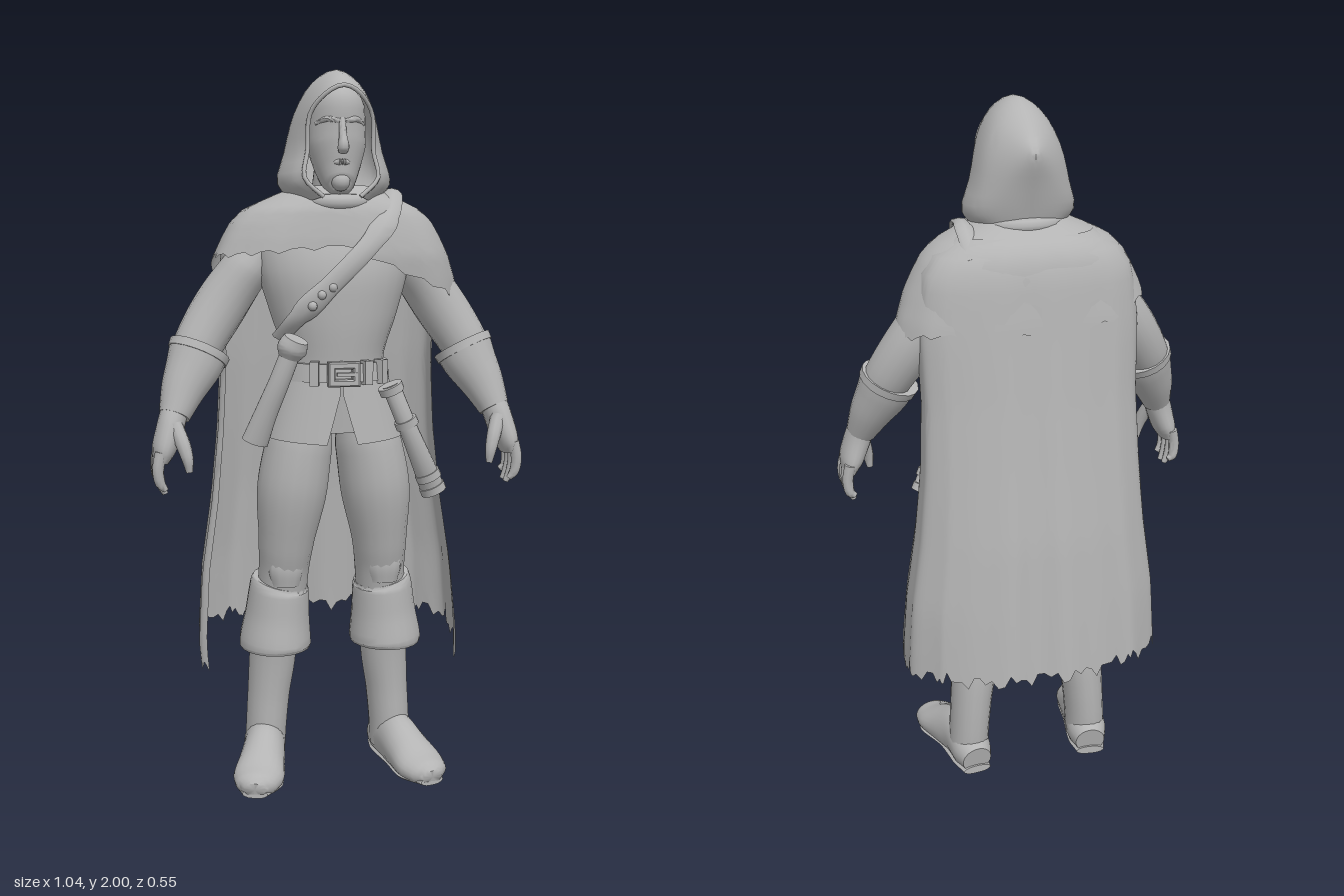
import * as THREE from 'three';
import { toCreasedNormals } from 'three/addons/utils/BufferGeometryUtils.js';

const grey = new THREE.MeshStandardMaterial({ color: 0xb4b4b4, side: THREE.DoubleSide });
grey.name = 'plain grey';
const V = (x, y, z) => new THREE.Vector3(x, y, z);
const power = (v, e) => Math.sign(v) * Math.abs(v) ** e;

// Skin over rows of points; closed rows wrap round
function skin(rows, closed, crease = 0.9) {
  const n = rows[0].length, pos = rows.flat().flatMap(p => [p.x, p.y, p.z]), idx = [];
  let volume = 0;
  const tri = (a, b, c, A, B, C) => {
    idx.push(a, b, c);
    volume += A.dot(B.clone().cross(C));
  };
  for (let r = 0; r < rows.length - 1; r++) {
    for (let i = 0; i < (closed ? n : n - 1); i++) {
      const j = (i + 1) % n, a = r * n + i, b = r * n + j, c = a + n, d = b + n;
      tri(a, b, d, rows[r][i], rows[r][j], rows[r + 1][j]);
      tri(a, d, c, rows[r][i], rows[r + 1][j], rows[r + 1][i]);
    }
  }
  if (closed && volume < 0) idx.reverse();
  const g = new THREE.BufferGeometry();
  g.setAttribute('position', new THREE.Float32BufferAttribute(pos, 3));
  g.setIndex(idx);
  return toCreasedNormals(g, crease);
}

// Solid swept through stations [x, y, z, sideRadius, depthRadius]
function sweep(st, { sides = 18, steps = 5, side = 1, floor = -9 } = {}) {
  const path = new THREE.CatmullRomCurve3(st.map(p => V(p[0] * side, p[1], p[2])));
  const radii = new THREE.CatmullRomCurve3(st.map(p => V(p[3], p[4], 0)));
  const rows = [], N = (st.length - 1) * steps;
  for (let k = 0; k <= N; k++) {
    const c = path.getPoint(k / N), r = radii.getPoint(k / N), t = path.getTangent(k / N);
    const u = V(1, 0, 0).addScaledVector(t, -t.x).normalize(), w = t.clone().cross(u);
    const ring = Array.from({ length: sides }, (_, i) => {
      const a = i / sides * Math.PI * 2;
      const p = c.clone().addScaledVector(u, r.x * Math.cos(a)).addScaledVector(w, r.y * Math.sin(a));
      p.y = Math.max(p.y, floor);
      return p;
    });
    const cap = ring.map(() => V(c.x, Math.max(c.y, floor), c.z));
    if (k === 0) rows.push(cap);
    rows.push(ring);
    if (k === N) rows.push(cap);
  }
  return skin(rows, true);
}

// Interpolates a table of [y, ...values] with y falling
function at(table, y) {
  let i = 0;
  while (i < table.length - 2 && y < table[i + 1][0]) i++;
  const a = table[i], b = table[i + 1];
  const f = THREE.MathUtils.clamp((y - a[0]) / (b[0] - a[0]), 0, 1);
  return a.map((v, k) => v + (b[k] - v) * f);
}

export function createModel() {
  const model = new THREE.Group();
  const add = (name, g, x = 0, y = 0, z = 0) => {
    const m = new THREE.Mesh(g, grey);
    m.name = name;
    m.position.set(x, y, z);
    model.add(m);
    return m;
  };

  // Torso, neck and head
  add('torso', sweep([[0, 1.02, .06, .15, .11], [0, 1.12, .065, .15, .115], [0, 1.21, .07, .14, .12],
    [0, 1.34, .07, .178, .135], [0, 1.45, .06, .21, .145], [0, 1.55, .04, .22, .13], [0, 1.65, .03, .1, .08]], { sides: 28 }));
  add('neck', sweep([[0, 1.58, .04, .07, .07], [0, 1.74, .08, .055, .06]]));
  add('head', sweep([[0, 1.672, .165, .022, .025], [0, 1.69, .15, .042, .05], [0, 1.74, .125, .064, .074],
    [0, 1.8, .11, .08, .09], [0, 1.85, .105, .08, .094], [0, 1.9, .105, .076, .095], [0, 1.96, .09, .035, .05]], { sides: 24 }));
  add('nose', sweep([[0, 1.865, .192, .009, .01], [0, 1.82, .205, .011, .014], [0, 1.79, .212, .016, .017], [0, 1.777, .203, .012, .01]], { sides: 10 }));
  add('mouth', sweep([[-.028, 1.75, .176, .004, .005], [0, 1.752, .194, .009, .009], [.028, 1.75, .176, .004, .005]], { sides: 8 }));
  add('chin', new THREE.SphereGeometry(.026, 14, 10), 0, 1.7, .173);
  for (const side of [-1, 1])
    add('brow', sweep([[.006, 1.858, .193, .008, .009], [.035, 1.864, .185, .01, .009], [.064, 1.852, .155, .006, .006]], { side, sides: 8 }));

  // Hood: arches from the face opening to the pointed back, half of each given
  const arches = [
    [[0, 1.95, .222], [.045, 1.93, .212], [.085, 1.875, .18], [.09, 1.78, .17], [.1, 1.71, .185], [.05, 1.66, .195]],
    [[0, 1.975, .195], [.05, 1.95, .185], [.095, 1.885, .15], [.115, 1.78, .14], [.13, 1.7, .15], [.08, 1.65, .16]],
    [[0, 2, .09], [.062, 1.965, .085], [.105, 1.89, .08], [.135, 1.78, .075], [.157, 1.695, .075], [.11, 1.645, .08]],
    [[0, 1.98, .02], [.058, 1.95, .015], [.1, 1.88, .005], [.125, 1.78, 0], [.14, 1.7, .01], [.1, 1.65, .02]],
    [[0, 1.93, -.05], [.04, 1.91, -.05], [.066, 1.86, -.055], [.088, 1.78, -.045], [.1, 1.71, -.03], [.075, 1.655, -.02]],
    [[0, 1.895, -.088], [.016, 1.885, -.09], [.03, 1.855, -.088], [.045, 1.79, -.07], [.05, 1.71, -.05], [.04, 1.66, -.035]],
    [[0, 1.875, -.102], [0, 1.87, -.103], [0, 1.85, -.1], [0, 1.79, -.08], [0, 1.71, -.055], [0, 1.66, -.04]]];
  const archRow = h => new THREE.CatmullRomCurve3([
    ...h.slice(1).reverse().map(p => V(-p[0], p[1], p[2])), ...h.map(p => V(...p))]).getPoints(30);
  const coarse = arches.map(archRow);
  const columns = coarse[0].map((_, i) => new THREE.CatmullRomCurve3(coarse.map(r => r[i])).getPoints(24));
  add('hood', skin(columns, false));
  add('hoodRim', new THREE.TubeGeometry(new THREE.CatmullRomCurve3(coarse[0]), 40, .006, 8));
  const collar = add('collar', new THREE.TorusGeometry(.108, .022, 10, 32), 0, 1.66, .06);
  collar.rotation.x = Math.PI / 2 + .14;

  // Shoulder mantle, longer over the left arm
  const mantle = [[1.69, .1, .09, .05], [1.66, .175, .12, .045], [1.625, .25, .148, .035], [1.59, .285, .16, .03],
    [1.55, .308, .167, .03], [1.5, .332, .172, .03], [1.43, .355, .172, .02], [1.35, .37, .17, .01]];
  const mantleRows = [];
  for (let r = 0; r <= 16; r++) {
    mantleRows.push(Array.from({ length: 64 }, (_, i) => {
      const a = i / 64 * Math.PI * 2, x = Math.sin(a), front = Math.cos(a);
      let hem = x > 0 ? 1.53 - .155 * x : 1.53 + .03 * x;
      if (front < 0) hem += (1.4 - hem) * -front;
      hem += .007 * Math.sin(i * 2.1);
      const [y, rx, rz, cz] = at(mantle, 1.69 + (hem - 1.69) * r / 16);
      const fold = 1 + .012 * (r / 16) * Math.sin(a * 9);
      return V(power(x, .88) * rx * fold, y, cz + power(front, .88) * rz * fold);
    }));
  }
  add('shoulderMantle', skin(mantleRows, true));

  // Cape with folds and a torn hem: [y, half width, edge z, back z]
  const cape = [[1.65, .19, .01, -.085], [1.6, .27, 0, -.125], [1.55, .3, -.01, -.14], [1.4, .315, -.03, -.155], [1.2, .31, -.045, -.178],
    [1, .32, -.055, -.205], [.8, .34, -.05, -.235], [.6, .37, -.045, -.255], [.4, .383, -.03, -.275], [.3, .375, -.015, -.28]];
  const capeRows = [];
  for (let r = 0; r <= 28; r++) {
    const v = r / 28;
    capeRows.push(Array.from({ length: 81 }, (_, i) => {
      const s = i / 40 - 1, a = s * 1.9, c = Math.cos(a);
      const tear = .014 * Math.sin(i * 2.3) + .012 * Math.sin(i * 1.1 + 1);
      const hem = .405 - .09 * s ** 6 + tear;
      const [y, w, edge, back] = at(cape, 1.65 + (hem - 1.65) * v);
      const fold = .009 * v * Math.sin(s * 19 + .6) + .005 * v * Math.sin(s * 31);
      return V((w + fold) * Math.sin(a), y, edge + (back - edge) * power(c, .75) + fold * c);
    }));
  }
  add('cape', skin(capeRows, false));

  // Tunic skirt with a front slit
  const skirtRows = [];
  for (let r = 0; r <= 8; r++) {
    const v = r / 8, gap = .01 + .24 * Math.max(0, v - .35);
    skirtRows.push(Array.from({ length: 49 }, (_, i) => {
      const a = gap + (i / 48) * (Math.PI * 2 - 2 * gap);
      return V((.145 + .052 * v) * power(Math.sin(a), .85), 1.2 - .215 * v + .015 * v * Math.abs(Math.sin(a)),
        .068 + (.12 + .02 * v) * power(Math.cos(a), .85));
    }));
  }
  add('tunicSkirt', skin(skirtRows, false));

  // Belt, buckle and loops
  const belt = add('belt', new THREE.CylinderGeometry(.152, .157, .05, 36), 0, 1.185, .07);
  belt.scale.z = .88;
  const buckle = new THREE.Shape().moveTo(-.04, -.03).lineTo(.04, -.03).lineTo(.04, .03).lineTo(-.04, .03);
  buckle.holes.push(new THREE.Path().moveTo(-.028, -.018).lineTo(-.028, .018).lineTo(.028, .018).lineTo(.028, -.018));
  add('buckle', new THREE.ExtrudeGeometry(buckle, { depth: .024, bevelSize: .004, bevelThickness: .004, bevelSegments: 1 }), 0, 1.185, .205);
  add('buckleTongue', new THREE.BoxGeometry(.06, .01, .015), .01, 1.185, .226);
  for (const [x, z, turn] of [[-.075, .19, -.3], [.07, .19, .3], [.115, .165, .7]])
    add('beltLoop', new THREE.BoxGeometry(.024, .066, .03), x, 1.185, z).rotation.y = turn;

  // Shoulder strap
  add('shoulderStrap', sweep([[-.165, 1.28, .15, .026, .01], [-.12, 1.34, .198, .028, .01], [-.03, 1.43, .217, .028, .01],
    [.07, 1.53, .21, .028, .01], [.135, 1.61, .168, .028, .01], [.165, 1.67, .08, .026, .01], [.17, 1.667, 0, .026, .01], [.165, 1.6, -.09, .026, .01]], { sides: 8, steps: 7 }));
  for (const [x, y] of [[-.085, 1.37], [-.06, 1.4], [-.03, 1.42]])
    add('strapStud', new THREE.SphereGeometry(.013, 10, 8), x, y, .22);

  // Scabbard on the right hip, sheathed dagger on the left
  add('rightScabbard', sweep([[-.145, 1.25, .225, .028, .026], [-.175, 1.17, .215, .029, .027], [-.21, 1.08, .195, .032, .028], [-.238, 1.0, .175, .038, .03]], { sides: 14 }));
  add('rightPommel', sweep([[-.132, 1.285, .235, .034, .034], [-.142, 1.26, .228, .042, .038], [-.15, 1.235, .222, .03, .028]], { sides: 14 }));
  add('leftScabbard', sweep([[.135, 1.15, .2, .026, .022], [.18, 1.04, .205, .026, .024], [.225, .94, .19, .03, .026], [.262, .86, .165, .034, .028]], { sides: 14 }));
  for (const [x, y, z, r] of [[.132, 1.15, .203, .035], [.175, 1.055, .205, .033], [.245, .9, .178, .036], [.262, .86, .166, .037]])
    add('scabbardBand', sweep([[x, y, z, r, r * .85], [x + .009, y - .02, z - .003, r, r * .85]], { sides: 14, steps: 1 }));

  for (const side of [-1, 1]) {
    const part = (name, st, o = {}) => add(name, sweep(st, { side, ...o }));
    // Arm, gauntlet and hand
    part('sleeve', [[.19, 1.53, .03, .05, .06], [.243, 1.46, .02, .068, .085], [.31, 1.365, .025, .074, .08], [.382, 1.25, .055, .068, .068], [.42, 1.16, .09, .05, .05]]);
    part('gauntlet', [[.378, 1.238, .064, .083, .076], [.392, 1.205, .075, .078, .072], [.425, 1.14, .1, .062, .06], [.453, 1.07, .13, .043, .045]]);
    part('gauntletLip', [[.374, 1.246, .061, .087, .079], [.383, 1.226, .068, .085, .078]], { steps: 1 });
    part('palm', [[.45, 1.09, .125, .038, .04], [.465, 1.04, .137, .038, .052], [.483, .985, .143, .034, .062], [.493, .95, .143, .022, .056]]);
    for (let f = 0; f < 4; f++) {
      const z = .094 + f * .031, tip = [.885, .862, .86, .875][f];
      part('finger', [[.494, .98, z, .017, .017], [.503, .935, z + .002, .016, .016], [.498, .895, z, .014, .014], [.483, tip, z - .002, .008, .008]], { sides: 10, steps: 3 });
    }
    part('thumb', [[.455, 1.05, .165, .022, .022], [.435, 1.0, .19, .02, .02], [.424, .96, .2, .016, .016], [.42, .925, .2, .009, .009]], { sides: 10 });

    // Leg, boot and foot
    part('thigh', [[.075, 1.08, .065, .065, .09], [.098, .98, .07, .094, .113], [.118, .86, .07, .1, .115], [.135, .7, .06, .08, .092], [.14, .62, .045, .073, .085], [.145, .52, .035, .07, .075]]);
    part('kneeCap', [[.14, .67, .1, .04, .025], [.142, .62, .103, .05, .03], [.143, .57, .1, .04, .025]], { sides: 12 });
    part('bootCuff', [[.148, .57, .032, .08, .088], [.151, .555, .03, .085, .096], [.157, .47, .024, .093, .106], [.163, .385, .02, .104, .12], [.163, .372, .02, .101, .116]], { sides: 22 });
    part('bootShaft', [[.16, .44, .0, .07, .078], [.168, .32, -.015, .068, .078], [.178, .22, -.02, .062, .076], [.185, .13, -.02, .06, .075], [.19, .04, -.02, .06, .07]]);
    part('foot', [[.182, .045, -.1, .045, .045], [.187, .055, -.05, .06, .065], [.198, .065, .03, .06, .08], [.217, .05, .11, .066, .065],
      [.236, .036, .18, .072, .045], [.25, .03, .225, .057, .036], [.256, .025, .246, .03, .022]], { floor: .004, sides: 22 });
    part('sole', [[.182, .012, -.102, .043, .013], [.19, .012, -.03, .056, .013], [.205, .012, .06, .055, .013], [.233, .012, .17, .069, .013], [.255, .012, .243, .036, .013]], { floor: 0 });
  }
  return model;
}
